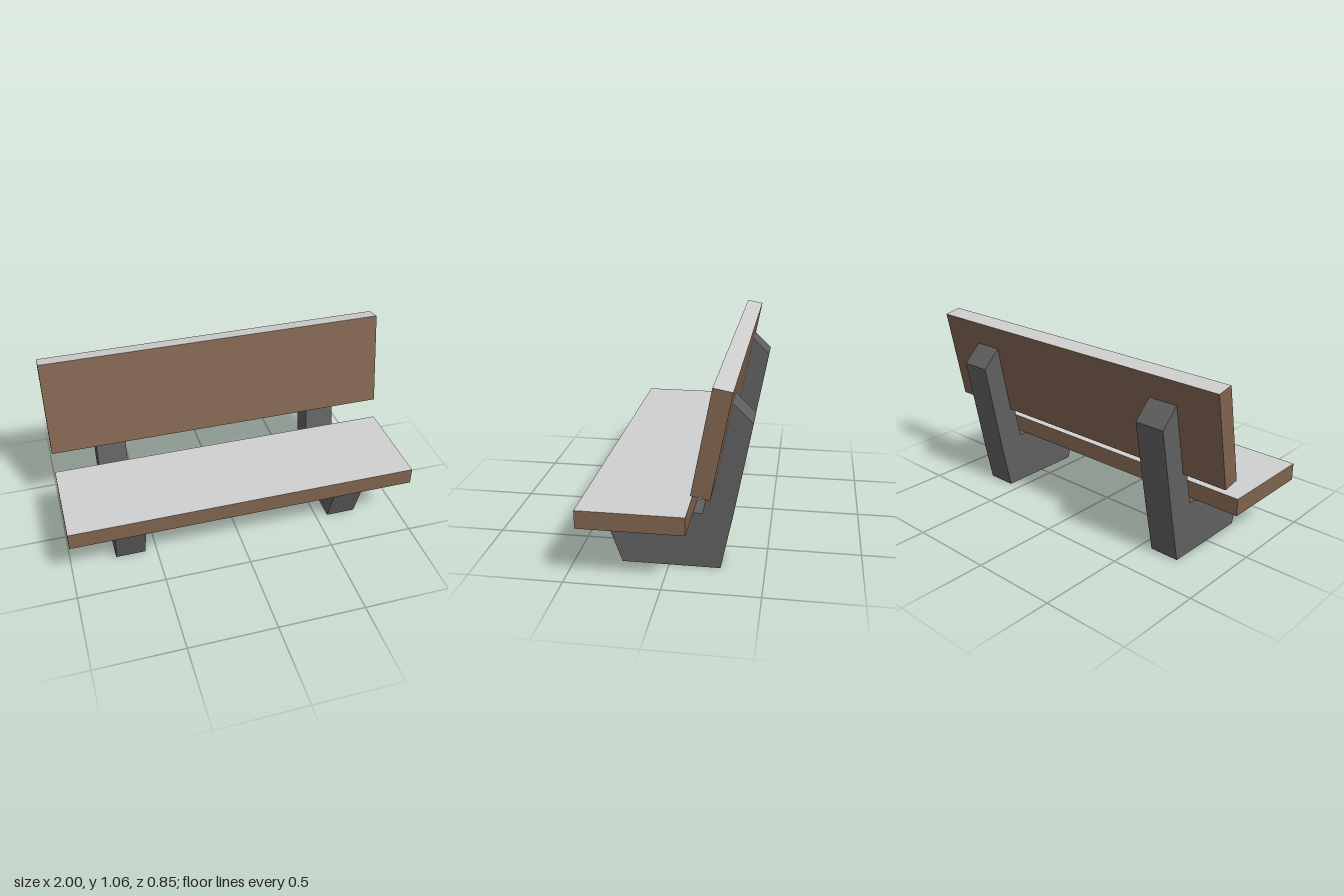
import * as THREE from 'three';

const material = (name, color) => {
  const m = new THREE.MeshStandardMaterial({ color });
  m.name = name;
  return m;
};

export function createModel() {
  const bench = new THREE.Group();
  bench.name = 'bench';

  const wood = material('brown wood', 0x80634f);
  const pale = material('pale grey top', 0xd0d0d0);
  const stone = material('dark grey support', 0x606060);

  // Plank with a pale upper face
  const plank = (name, height, depth, y, z, tilt = 0) => {
    const mesh = new THREE.Mesh(
      new THREE.BoxGeometry(2, height, depth),
      [wood, wood, pale, wood, wood, wood]
    );
    mesh.name = name;
    mesh.position.set(0, y, z);
    mesh.rotation.x = tilt;
    bench.add(mesh);
  };
  plank('seat', 0.097, 0.549, 0.354, 0.15);
  plank('backrest', 0.546, 0.097, 0.7785, -0.246, -0.186);

  // Side profile of a support, as (z, y) points
  const profile = new THREE.Shape([
    [0.248, 0], [0.356, 0.306], [-0.173, 0.306], [-0.296, 0.925],
    [-0.422, 0.802], [-0.332, 0.31], [-0.27, 0],
  ].map(([z, y]) => new THREE.Vector2(z, y)));

  const width = 0.173;
  const supportGeometry = new THREE.ExtrudeGeometry(profile, { depth: width, bevelEnabled: false });
  supportGeometry.translate(0, 0, -width / 2);
  supportGeometry.rotateY(-Math.PI / 2);

  for (const [name, x] of [['rightSupport', -0.653], ['leftSupport', 0.658]]) {
    const support = new THREE.Mesh(supportGeometry, stone);
    support.name = name;
    support.position.x = x;
    bench.add(support);
  }

  return bench;
}
